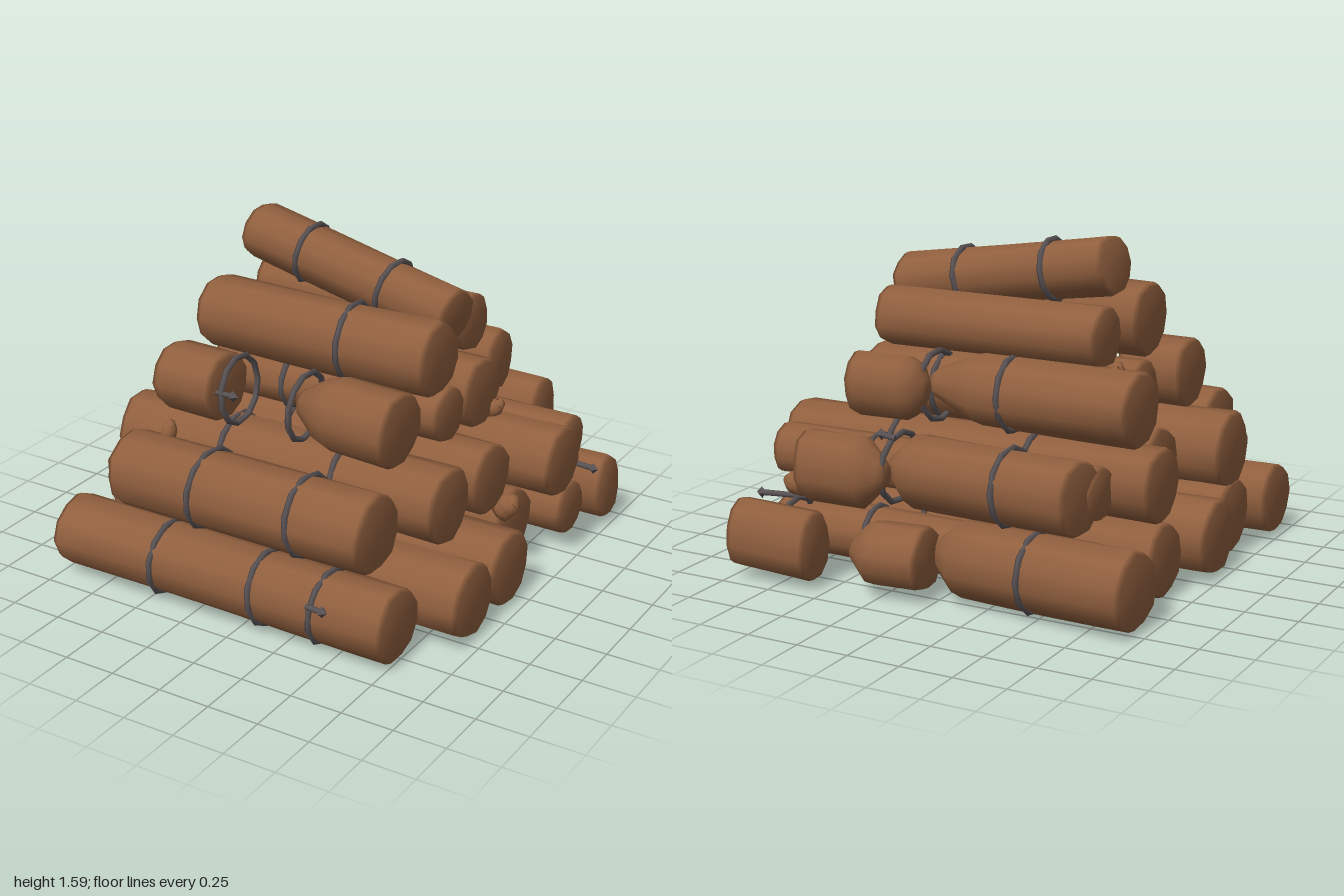
import * as THREE from 'three';
import { mergeVertices } from 'three/addons/utils/BufferGeometryUtils.js';

const bark = new THREE.MeshStandardMaterial({ color: 0x905f3e });
bark.name = 'brown bark';
const cord = new THREE.MeshStandardMaterial({ color: 0x5a5355 });
cord.name = 'grey cord';

const UP = new THREE.Vector3(0, 1, 0);
const FORWARD = new THREE.Vector3(0, 0, 1);
const vec = (x, y, z) => new THREE.Vector3(x, y, z);

// Radius factor at a distance from an end: nearly square if sawn, tapering if snapped
const endFactor = (distance, snap) => snap
  ? Math.min(1, 0.35 + 0.65 * distance / snap)
  : Math.min(1, 0.93 + 3 * distance);

// Uneven, smooth-shaded log between two points; depth flattens it along z
function makeLog(name, a, b, radius, seed, { snapA = 0, snapB = 0, depth = 1 } = {}) {
  const dir = b.clone().sub(a);
  const length = dir.length();
  const profile = [new THREE.Vector2(0, 0)];
  const stops = [0, 0.025 / length, ...[1, 2, 3, 4, 5, 6, 7].map((i) => i / 8), 1 - 0.025 / length, 1];
  for (const t of stops) {
    const y = t * length;
    const factor = endFactor(y, snapA) * endFactor(length - y, snapB);
    profile.push(new THREE.Vector2(radius * factor, y));
  }
  profile.push(new THREE.Vector2(0, length));

  let geo = new THREE.LatheGeometry(profile, 11);
  geo.deleteAttribute('uv');
  geo.deleteAttribute('normal');
  geo = mergeVertices(geo, 1e-4);
  const pos = geo.attributes.position;
  for (let i = 0; i < pos.count; i++) {
    const x = pos.getX(i), y = pos.getY(i), z = pos.getZ(i);
    const angle = Math.atan2(x, z);
    const k = 1 + 0.03 * Math.sin(3 * angle + seed + y * 2) + 0.025 * Math.sin(5 * angle - seed * 2 + y * 3);
    pos.setXYZ(i, x * k, y, z * k * depth);
  }
  geo.computeVertexNormals();
  const mesh = new THREE.Mesh(geo, bark);
  mesh.name = name;
  mesh.position.copy(a);
  mesh.quaternion.setFromUnitVectors(UP, dir.normalize());
  return mesh;
}

// Cord loop around an axis
function makeCord(center, dir, radius, seed) {
  const mesh = new THREE.Mesh(new THREE.TorusGeometry(radius, 0.015, 5, 11), cord);
  mesh.name = 'cord';
  mesh.position.copy(center);
  const tilt = vec(0, 0.05 * Math.sin(seed * 3), 0.05 * Math.cos(seed * 5));
  mesh.quaternion.setFromUnitVectors(FORWARD, dir.clone().add(tilt).normalize());
  return mesh;
}

// Log with cords tied at the given fractions of its length
function makeTiedLog(name, a, b, radius, seed, ties, ends) {
  const group = new THREE.Group();
  group.name = name;
  group.add(makeLog('wood', a, b, radius, seed, ends));
  const dir = b.clone().sub(a).normalize();
  ties.forEach((t, i) => group.add(makeCord(a.clone().lerp(b, t), dir, radius + 0.004, seed + i)));
  return group;
}

// Whole logs of each row, front to back: right end x, left end x, z, radius, cords if unusual
const ROWS = [
  { name: 'bottomLog', y: 0.2, logs: [[-0.99, 0.77, 0.8, 0.17, [0.31, 0.62, 0.8]], [-0.91, 0.95, 0.45, 0.175],
    [-0.98, 0.95, 0.1, 0.175], [-0.9, 0.76, -0.31, 0.17], [-0.7, 0.92, -0.59, 0.13]] },
  { name: 'secondLog', y: 0.555, logs: [[-0.72, 0.61, 0.71, 0.182, [0.34, 0.73]], [-0.95, 0.75, 0.32, 0.178],
    [-0.75, 0.78, -0.03, 0.165], [-0.9, 0.98, -0.35, 0.168], [-0.72, 0.91, -0.59, 0.12]] },
  { name: 'thirdLog', y: 0.865, logs: [[-0.62, 0.6, 0.06, 0.13], [-0.62, 0.61, -0.24, 0.165]] },
  { name: 'fourthLog', y: 1.17, logs: [[-0.6, 0.6, 0.16, 0.17, [0.625]], [-0.6, 0.52, -0.3, 0.138, []]] },
];

export function createModel() {
  const pile = new THREE.Group();
  pile.name = 'logPile';

  let seed = 0;
  for (const { name, y, logs } of ROWS) {
    logs.forEach(([x0, x1, z, radius, ties = [0.33, 0.69]], i) => {
      seed += 1.7;
      pile.add(makeTiedLog(name + (i + 1), vec(x0, y, z), vec(x1, y, z), radius, seed, ties));
    });
  }
  pile.add(makeTiedLog('topLog', vec(-0.57, 1.472, -0.165), vec(0.55, 1.28, -0.07), 0.134, 3, [0.28, 0.69]));

  // Rearmost logs, snapped towards the left
  pile.add(
    makeTiedLog('bottomSnappedLog', vec(-0.96, 0.2, -0.73), vec(0.03, 0.2, -0.67), 0.178, 1, [0.5], { snapB: 0.08 }),
    makeTiedLog('secondSnappedLog', vec(-0.7, 0.57, -0.74), vec(0.28, 0.56, -0.65), 0.168, 2, [0.37], { snapB: 0.1 }),
    makeTiedLog('thirdSnappedLog', vec(-0.81, 0.89, -0.385), vec(0.24, 0.89, -0.36), 0.17, 4, [0.6], { snapB: 0.25 }),
  );

  // Broken-off pieces
  pile.add(
    makeLog('bottomSplinter', vec(0.03, 0.2, -0.79), vec(0.4, 0.2, -0.82), 0.145, 5, { snapB: 0.1 }),
    makeLog('bottomStub', vec(0.56, 0.2, -0.885), vec(0.99, 0.21, -0.87), 0.165, 6, { depth: 0.67 }),
    makeLog('secondStub', vec(0.23, 0.565, -0.81), vec(0.65, 0.565, -0.81), 0.165, 7, { snapA: 0.1, depth: 0.73 }),
    makeLog('thirdStub', vec(0.18, 0.9, -0.54), vec(0.54, 0.9, -0.55), 0.15, 8, { snapA: 0.06, depth: 0.83 }),
    makeLog('thirdFrontPiece', vec(-0.72, 0.89, 0.36), vec(-0.4, 0.89, 0.36), 0.162, 9),
    makeLog('thirdFrontStub', vec(0, 0.9, 0.35), vec(0.52, 0.885, 0.36), 0.175, 10, { snapA: 0.16 }),
  );

  // Loose cords hanging in the gaps of the snapped logs
  const along = vec(1, 0, 0);
  [vec(-0.34, 0.89, 0.36), vec(0.02, 0.89, 0.36), vec(0.24, 0.57, -0.68), vec(0.2, 0.89, -0.4), vec(0.76, 0.21, -0.75)]
    .forEach((center, i) => pile.add(makeCord(center, along, 0.16, i + 7)));

  // Cord ends, each with a small knot
  [[vec(0.4, 0.27, 0.97), vec(0.48, 0.265, 0.97)], [vec(-0.36, 0.93, 0.52), vec(-0.28, 0.92, 0.5)],
    [vec(0.66, 0.38, -0.73), vec(0.96, 0.36, -0.73)], [vec(0.2, 0.73, -0.78), vec(0.27, 0.74, -0.78)]].forEach(([a, b]) => {
    const dir = b.clone().sub(a);
    const twig = new THREE.Mesh(new THREE.CylinderGeometry(0.014, 0.012, dir.length(), 6), cord);
    twig.name = 'cordEnd';
    twig.position.copy(a).lerp(b, 0.5);
    twig.quaternion.setFromUnitVectors(UP, dir.normalize());
    const knot = new THREE.Mesh(new THREE.OctahedronGeometry(0.028), cord);
    knot.name = 'cordKnot';
    knot.position.copy(b);
    pile.add(twig, knot);
  });

  // Branch knots
  [[vec(-0.76, 0.47, 0.66), vec(-0.87, 0.53, 0.66), 0.058], [vec(-0.58, 0.65, 0.62), vec(-0.56, 0.77, 0.59), 0.036],
    [vec(-0.66, 0.98, -0.36), vec(-0.68, 1.08, -0.35), 0.038], [vec(0.71, 0.43, -0.73), vec(0.83, 0.44, -0.72), 0.055],
    [vec(0.58, 0.73, -0.34), vec(0.65, 0.78, -0.36), 0.045], [vec(0.76, 0.33, -0.15), vec(0.84, 0.42, -0.15), 0.055]]
    .forEach(([a, b, radius], i) => pile.add(makeLog('branchKnot', a, b, radius, i, { snapB: 0.04 })));

  return pile;
}
